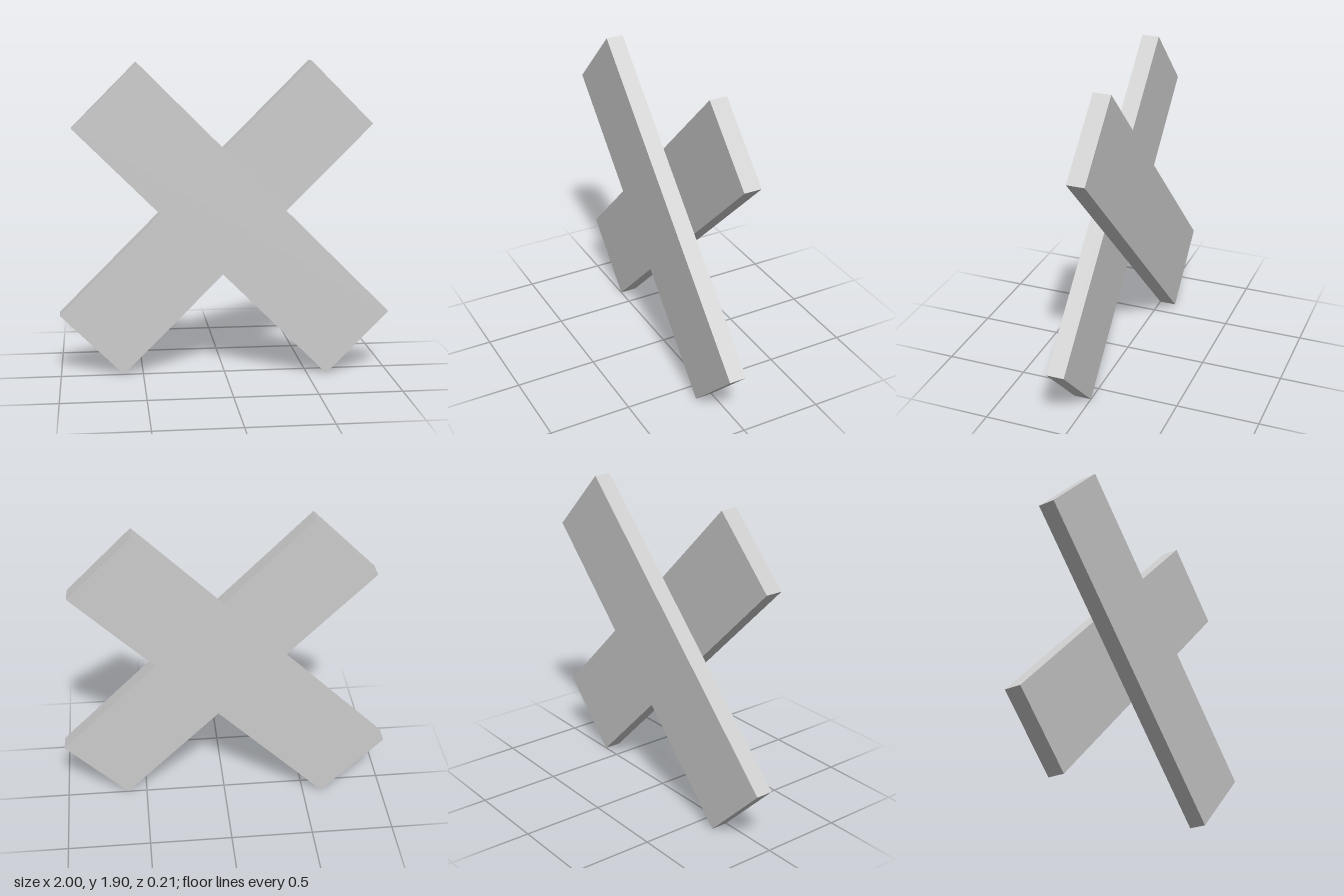
import * as THREE from 'three';

export function createModel() {
  const model = new THREE.Group();
  const material = new THREE.MeshStandardMaterial({ color: 0xcccccc, flatShading: true });
  const plank = new THREE.BoxGeometry(2.155, 0.539, 0.106);

  // Two crossed planks, one lying in front of the other
  for (const [name, side] of [['frontPlank', 1], ['backPlank', -1]]) {
    const mesh = new THREE.Mesh(plank, material);
    mesh.name = name;
    mesh.position.set(side * 0.0475, 0.953, side * 0.053);
    mesh.rotation.z = -side * Math.PI / 4;
    model.add(mesh);
  }
  return model;
}
